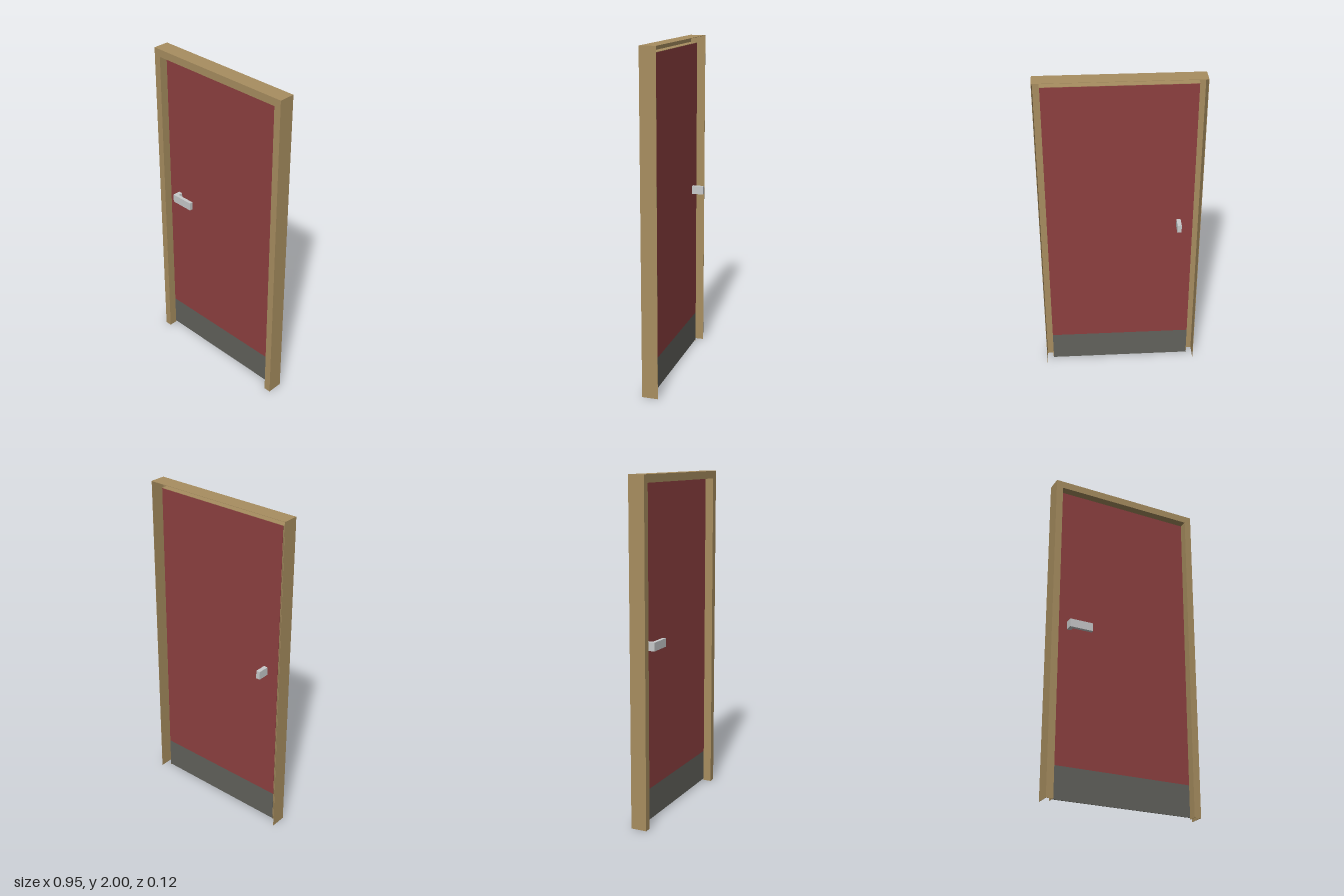
import * as THREE from 'three';

const mat = (name, color) => {
  const m = new THREE.MeshStandardMaterial({ color });
  m.name = name;
  return m;
};

export function createModel() {
  const model = new THREE.Group();
  model.name = 'door';
  const wood = mat('frameTan', 0xa88e60);
  const red = mat('doorRed', 0x8e4040);
  const grey = mat('kickPlateGrey', 0x62625c);
  const metal = mat('handleMetal', 0xc8cacb);

  // Box given by its extents on each axis
  const box = (name, material, [x0, x1], [y0, y1], [z0, z1], parent = model) => {
    const mesh = new THREE.Mesh(new THREE.BoxGeometry(x1 - x0, y1 - y0, z1 - z0), material);
    mesh.position.set((x0 + x1) / 2, (y0 + y1) / 2, (z0 + z1) / 2);
    mesh.name = name;
    parent.add(mesh);
  };

  const W = 0.475, H = 2, back = -0.033, front = 0.0625; // frame outside
  const w = 0.433, h = 1.955, doorZ = 0.01;              // opening and door plane
  const t = 0.002;                                       // sheet thickness

  // Hollow frame, open at the back: outer skin, front face and inner reveal
  const frame = new THREE.Group();
  frame.name = 'frame';
  model.add(frame);
  for (const s of [-1, 1]) {
    const side = (a, b) => (s > 0 ? [a, b] : [-b, -a]);
    const label = s > 0 ? 'left' : 'right';
    box(label + 'JambOuter', wood, side(W - t, W), [0, H], [back, front], frame);
    box(label + 'JambFront', wood, side(w + t, W - t), [0, H - t], [front - t, front], frame);
    box(label + 'JambReveal', wood, side(w, w + t), [0, h + t], [doorZ, front], frame);
  }
  box('headerOuter', wood, [-W + t, W - t], [H - t, H], [back, front], frame);
  box('headerFront', wood, [-w - t, w + t], [h + t, H - t], [front - t, front], frame);
  box('headerReveal', wood, [-w, w], [h, h + t], [doorZ, front], frame);

  // Thin door leaf with a kick plate along the bottom
  const leafZ = [doorZ - 0.002, doorZ + 0.002];
  box('doorPanel', red, [-w, w], [0.2, h], leafZ);
  box('kickPlate', grey, [-w, w], [0.01, 0.2], leafZ);

  // Front lever on its stem, and the stem continuing out of the back
  const handle = new THREE.Group();
  handle.name = 'handle';
  model.add(handle);
  const hy = [1.025, 1.075], stemX = [-0.36, -0.335];
  box('frontStem', metal, stemX, hy, [doorZ, 0.04], handle);
  box('frontLever', metal, [-0.36, -0.215], hy, [0.04, 0.0605], handle);
  box('backStem', metal, stemX, hy, [-0.0625, doorZ], handle);

  return model;
}
